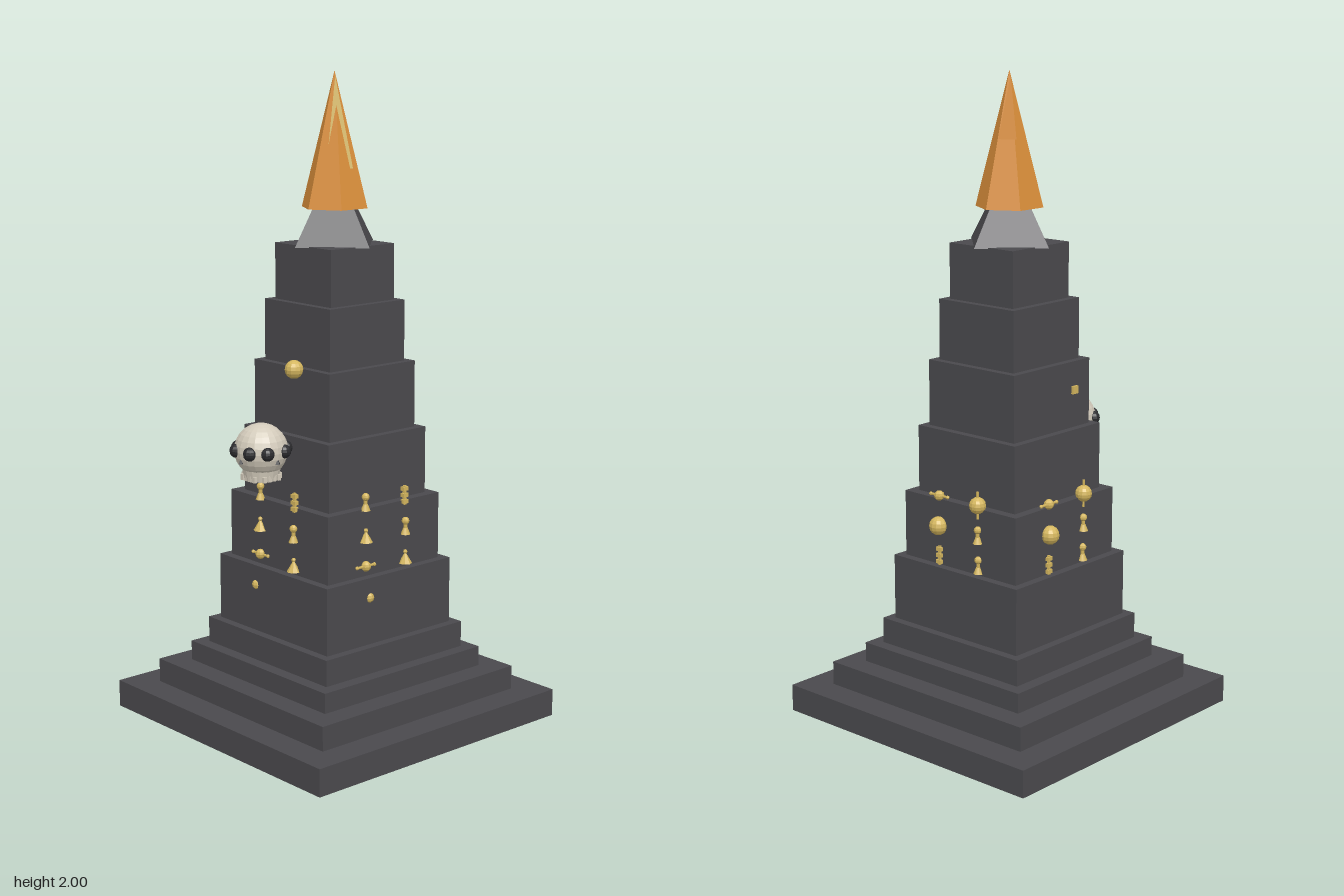
import * as THREE from 'three';

const flat = (hex) => new THREE.MeshStandardMaterial({ color: hex });

export function createModel() {
  const root = new THREE.Group();
  root.name = 'steppedTower';
  const stone = flat(0x4a494d); stone.name = 'darkStone';
  const orange = flat(0xd98e3a); orange.name = 'flameOrange';
  const gold = flat(0xd4b65e); gold.name = 'gold';
  const bone = flat(0xd3cbbb); bone.name = 'bone';
  const black = flat(0x2b2b2e); black.name = 'black';

  const add = (parent, name, geo, mat, x = 0, y = 0, z = 0) => {
    const m = new THREE.Mesh(geo, mat);
    m.name = name;
    m.position.set(x, y, z);
    parent.add(m);
    return m;
  };
  const faceted = (geo) => {
    const g = geo.index ? geo.toNonIndexed() : geo;
    g.computeVertexNormals();
    return g;
  };
  const ball = (r, w = 12, h = 8) => faceted(new THREE.SphereGeometry(r, w, h));

  // Square tiers: half width and top height
  const tiers = [[0.485, 0.085], [0.393, 0.16], [0.32, 0.222], [0.28, 0.303], [0.253, 0.51],
    [0.227, 0.718], [0.197, 0.925], [0.173, 1.13], [0.15, 1.317], [0.127, 1.488]];
  let bottom = 0;
  tiers.forEach(([half, top], i) => {
    add(root, `tier${i + 1}`, new THREE.BoxGeometry(half * 2, top - bottom, half * 2),
      stone, 0, (top + bottom) / 2, 0);
    bottom = top;
  });

  // Diamond roof and six-sided flame
  add(root, 'roof', faceted(new THREE.ConeGeometry(0.157, 0.25, 4)), stone, 0, 1.61, 0);
  add(root, 'flame', faceted(new THREE.ConeGeometry(0.104, 0.405, 6)), orange, 0, 1.7975, 0);

  // Three-sided tongues leaning on the flame; base corners run anticlockwise seen from above
  const tongue = (name, mat, y, apex, base) => {
    const [a, b, c] = base.map(([x, z]) => [x, y, z]);
    const g = new THREE.BufferGeometry();
    g.setAttribute('position', new THREE.Float32BufferAttribute(
      [a, b, apex, b, c, apex, c, a, apex, a, c, b].flat(2), 3));
    g.computeVertexNormals();
    add(root, name, g, mat);
  };
  tongue('goldTongue', gold, 1.715, [0.012, 1.985, 0.008], [[0.025, 0.055], [0.068, -0.013], [-0.005, 0.01]]);
  tongue('orangeTongue', orange, 1.8, [-0.014, 1.985, -0.01], [[-0.005, -0.055], [-0.055, -0.03], [-0.015, 0.0]]);

  // Small gold ornaments, each built around its own centre
  const ornaments = {
    bead: (g) => add(g, 'bead', ball(0.017, 8, 6), gold),
    orb: (g) => add(g, 'orb', ball(0.029), gold),
    spikedOrb: (g) => {
      add(g, 'orb', ball(0.026), gold);
      add(g, 'pin', new THREE.CylinderGeometry(0.004, 0.004, 0.085, 6), gold);
    },
    cone: (g) => {
      add(g, 'cone', faceted(new THREE.ConeGeometry(0.021, 0.036, 8)), gold);
      add(g, 'coneTip', ball(0.007, 6, 4), gold, 0, 0.018, 0);
    },
    armed: (g) => {
      add(g, 'body', ball(0.016, 8, 6), gold);
      const bar = add(g, 'arms', new THREE.CylinderGeometry(0.004, 0.004, 0.06, 6), gold);
      bar.rotation.z = Math.PI / 2;
      for (const s of [-1, 1]) add(g, 'hand', ball(0.006, 6, 4), gold, s * 0.035, 0, 0);
    },
    figure: (g) => {
      add(g, 'foot', new THREE.CylinderGeometry(0.007, 0.015, 0.02, 8), gold, 0, -0.014, 0);
      add(g, 'waist', new THREE.CylinderGeometry(0.006, 0.006, 0.03, 6), gold);
      add(g, 'head', ball(0.012, 8, 6), gold, 0, 0.018, 0);
    },
    totem: (g) => {
      for (const dy of [-0.02, 0, 0.02])
        add(g, 'block', new THREE.BoxGeometry(0.02, 0.012, 0.014), gold, 0, dy, 0);
      add(g, 'stem', new THREE.BoxGeometry(0.008, 0.06, 0.008), gold);
    },
  };
  // Kind, sideways offset, height, distance out from the centre
  const richSide = [
    ['bead', -0.08, 0.448, 0.245], ['armed', -0.08, 0.542, 0.232], ['cone', -0.08, 0.635, 0.232],
    ['figure', -0.08, 0.738, 0.23], ['cone', 0.08, 0.54, 0.235], ['figure', 0.08, 0.637, 0.235],
    ['totem', 0.08, 0.735, 0.23]];
  const orbSide = [
    ['totem', -0.08, 0.54, 0.23], ['orb', -0.08, 0.635, 0.235], ['armed', -0.08, 0.73, 0.23],
    ['figure', 0.08, 0.54, 0.23], ['figure', 0.08, 0.635, 0.232], ['spikedOrb', 0.08, 0.73, 0.232]];
  [['front', richSide], ['left', richSide], ['back', orbSide], ['right', orbSide]].forEach(([side, list], i) => {
    const face = new THREE.Group();
    face.name = `${side}Ornaments`;
    face.rotation.y = i * Math.PI / 2;
    for (const [kind, x, y, z] of list) {
      const g = new THREE.Group();
      g.name = `${kind}Ornament`;
      g.position.set(x, y, z);
      ornaments[kind](g);
      face.add(g);
    }
    root.add(face);
  });
  // Single high ornaments
  add(root, 'highOrb', ball(0.028), gold, 0.08, 1.14, 0.23);
  add(root, 'sidePlate', new THREE.BoxGeometry(0.008, 0.024, 0.024), gold, -0.194, 1.048, 0.08);

  // Skull with the same face on all four sides
  const skull = new THREE.Group();
  skull.name = 'skull';
  skull.position.set(0, 0.893, 0.292);
  add(skull, 'cranium', ball(0.081, 20, 14), bone);
  add(skull, 'jaw', faceted(new THREE.CylinderGeometry(0.06, 0.052, 0.045, 16)), bone, 0, -0.066, 0);
  for (let i = 0; i < 4; i++) {
    const face = new THREE.Group();
    face.name = 'skullFace';
    face.rotation.y = i * Math.PI / 2;
    for (const s of [-1, 1]) add(face, 'eye', ball(0.021, 10, 8), black, s * 0.032, 0.002, 0.069);
    add(face, 'nose', faceted(new THREE.ConeGeometry(0.009, 0.018, 4)), black, 0, -0.022, 0.077);
    for (const x of [-0.027, -0.009, 0.009, 0.027])
      add(face, 'tooth', new THREE.BoxGeometry(0.012, 0.018, 0.01), bone, x, -0.08, 0.048);
    skull.add(face);
  }
  root.add(skull);
  return root;
}
